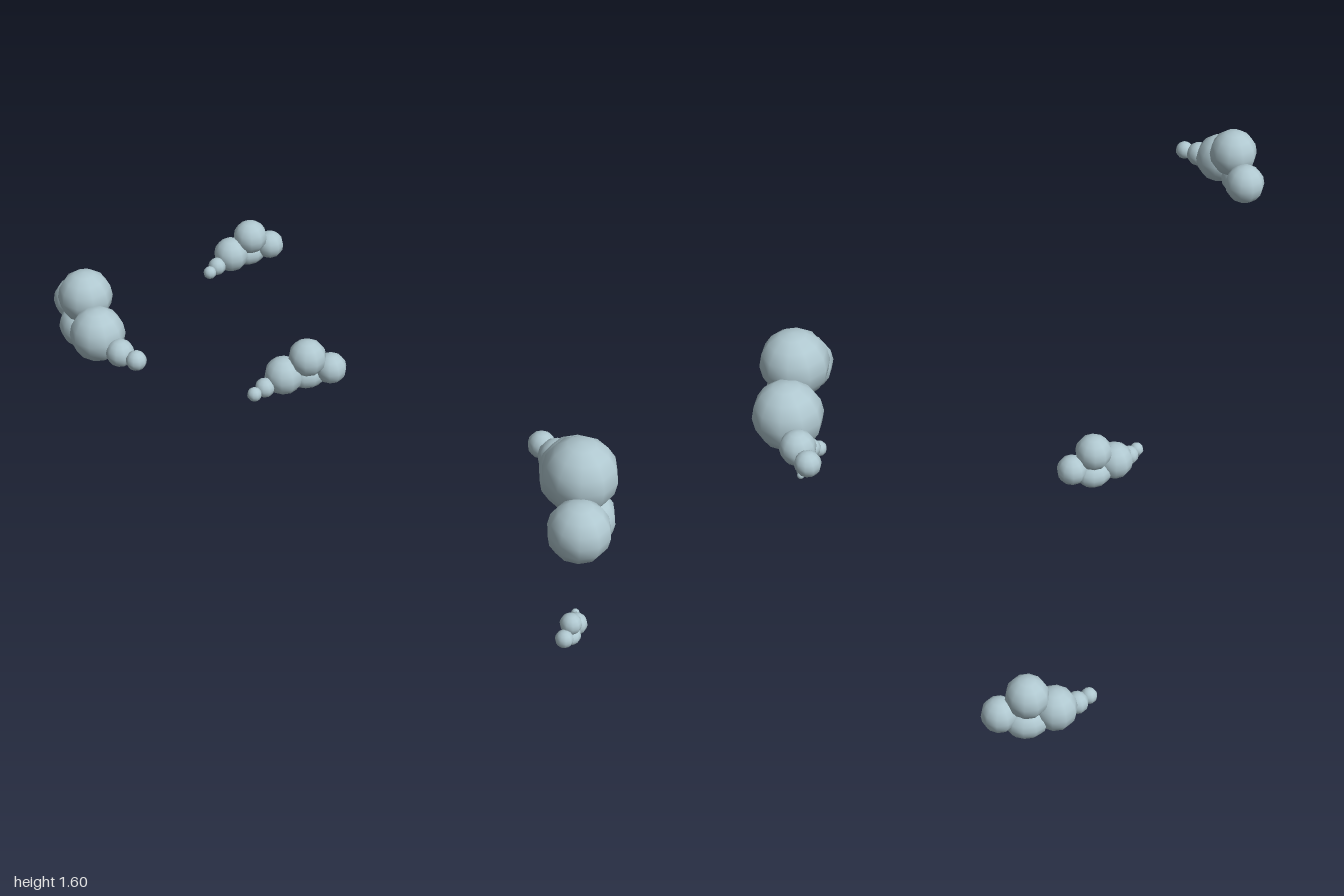
import * as THREE from 'three';

const cloudMaterial = new THREE.MeshStandardMaterial({ color: 0xb0c8d0 });
cloudMaterial.name = 'pale blue grey';

// Puffs of one cloud, relative to the top puff: name, centre, radii
const PUFFS = [
  ['topPuff', [0, 0, 0], [0.142, 0.142, 0.142]],
  ['rearPuff', [-0.177, -0.119, 0], [0.118, 0.118, 0.118]],
  ['frontPuff', [0.179, -0.128, 0], [0.144, 0.146, 0.144]],
  ['bellyPuff', [-0.008, -0.182, 0.042], [0.137, 0.102, 0.1]],
  ['tailPuff', [0.335, -0.17, -0.067], [0.074, 0.074, 0.074]],
  ['tailTip', [0.424, -0.178, -0.123], [0.054, 0.054, 0.054]],
];

// Clouds: name, position of the top puff, scale, turn about y
const CLOUDS = [
  ['largeCloud', [0.817, 0.633, 0.673], 1, 1.349],
  ['highCloud', [-0.897, 1.515, 0.613], 0.635, -1.321],
  ['lowCloud', [0.06, 0.19, -0.89], 0.575, -3.06],
  ['middleCloud', [-0.211, 1.004, -0.546], 0.46, -2.858],
  ['tinyCloud', [0.775, 0.084, 0.841], 0.29, 0.891],
];

export function createModel() {
  const model = new THREE.Group();
  model.name = 'clouds';
  const sphere = new THREE.SphereGeometry(1, 10, 8);

  for (const [name, position, size, turn] of CLOUDS) {
    const cloud = new THREE.Group();
    cloud.name = name;
    for (const [part, centre, radii] of PUFFS) {
      const puff = new THREE.Mesh(sphere, cloudMaterial);
      puff.name = part;
      puff.position.set(...centre);
      puff.scale.set(...radii);
      cloud.add(puff);
    }
    cloud.position.set(...position);
    cloud.scale.setScalar(size);
    cloud.rotation.y = turn;
    model.add(cloud);
  }
  return model;
}
